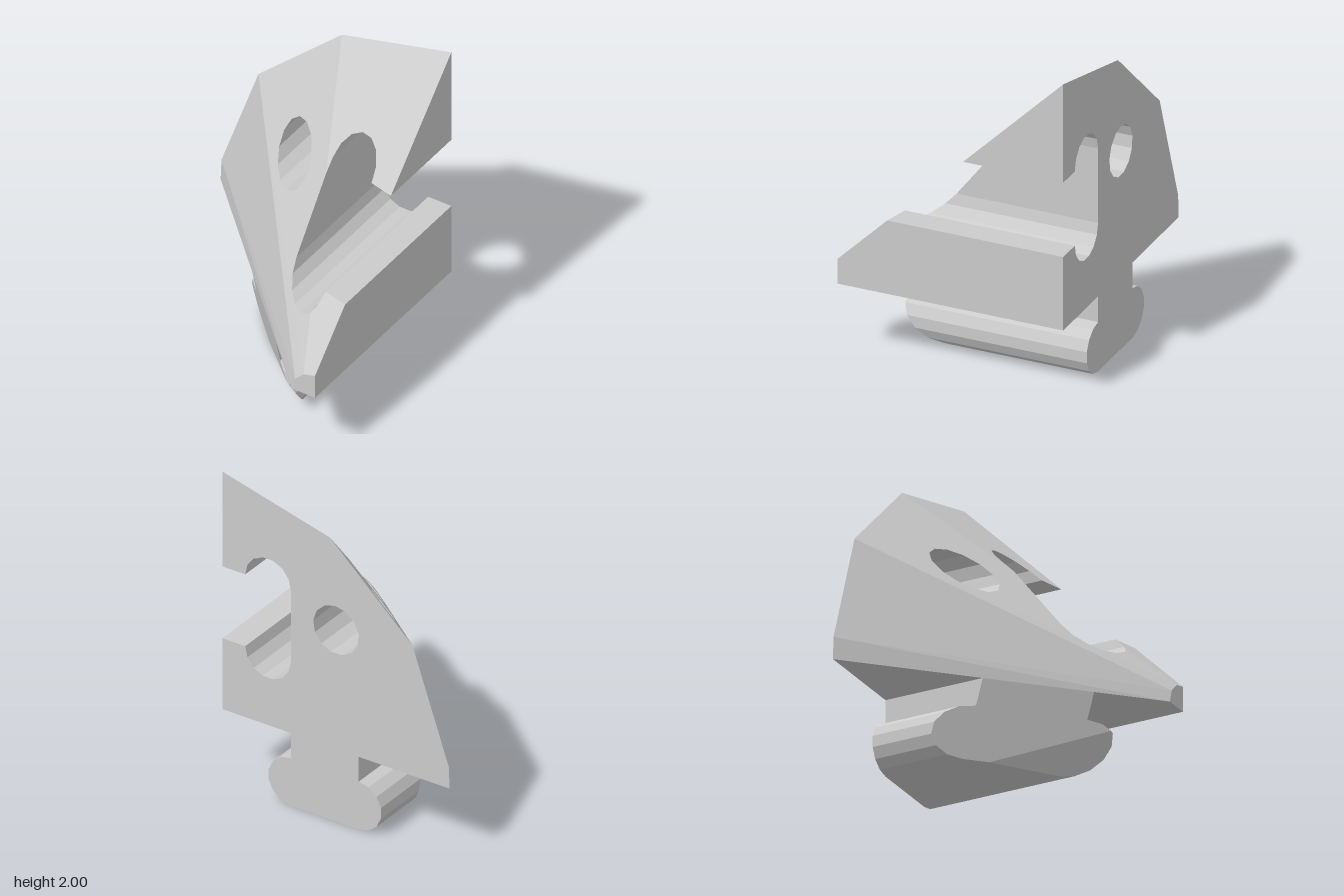
import * as THREE from 'three';

const BACK = -0.69, FRONT = 0.69;          // flat back and small front nose
const CX = 0.766, CY = 0.468;              // axis of the tapering cone
const V2 = (x, y) => new THREE.Vector2(x, y);

// Points of an arc, angles in degrees
function arc(cx, cy, r, from, to, steps) {
  return Array.from({ length: steps + 1 }, (_, i) => {
    const a = THREE.MathUtils.degToRad(from + (to - from) * i / steps);
    return V2(cx + r * Math.cos(a), cy + r * Math.sin(a));
  });
}

// Ring point of the cone, measured from the left (-x) direction upwards
const ring = (r, deg, z) => {
  const a = THREE.MathUtils.degToRad(deg);
  return new THREE.Vector3(CX - r * Math.cos(a), CY + r * Math.sin(a), z);
};
const noseAngles = [-90, -60, -30, 0, 30, 60, 90];
const backAngles = [-90, -60, -30, 0, 5.2, 33.3, 61.7, 90];
const nose = noseAngles.map(a => ring(0.153, a, FRONT));
const rear = backAngles.map(a => ring(1.532, a, BACK));

// Facets between nose ring and rear ring, ordered by edge direction
function coneFacets() {
  const facets = [];
  let i = 0, j = 0;
  while (i < nose.length - 1 || j < rear.length - 1) {
    const n = i < nose.length - 1 ? noseAngles[i] + noseAngles[i + 1] : Infinity;
    const b = j < rear.length - 1 ? backAngles[j] + backAngles[j + 1] : Infinity;
    if (n < b) facets.push([nose[i], rear[j], nose[++i]]);
    else facets.push([nose[i], rear[j], rear[++j]]);
  }
  return facets;
}
const facets = coneFacets();
const planes = facets.map(f => new THREE.Plane().setFromCoplanarPoints(...f));

// Height of the faceted front at (x, y)
function frontZ(x, y) {
  let z = FRONT;
  for (const { normal: n, constant: c } of planes) z = Math.min(z, -(n.x * x + n.y * y + c) / n.z);
  return Math.max(z, BACK);
}

// Split a polygon by the upright plane through a and b
function split(poly, a, b) {
  const len = Math.hypot(b.x - a.x, b.y - a.y);
  const d = poly.map(p => {
    const s = ((b.x - a.x) * (p.y - a.y) - (b.y - a.y) * (p.x - a.x)) / len;
    return Math.abs(s) < 1e-6 ? 0 : s;
  });
  if (d.every(s => s >= 0) || d.every(s => s <= 0)) return [poly];
  const pos = [], neg = [];
  poly.forEach((p, i) => {
    const k = (i + 1) % poly.length;
    if (d[i] >= 0) pos.push(p);
    if (d[i] <= 0) neg.push(p);
    if (d[i] * d[k] < 0) {
      const m = p.clone().lerp(poly[k], d[i] / (d[i] - d[k]));
      pos.push(m);
      neg.push(m);
    }
  });
  return [pos, neg];
}

// Extrude the profile, cut it along the facet ridges, and lower its front onto the facets
function taperedExtrude(shape) {
  const source = new THREE.ExtrudeGeometry(shape, { depth: 1, bevelEnabled: false });
  const flat = source.index ? source.toNonIndexed() : source;
  const pos = flat.attributes.position;
  let polys = [];
  for (let i = 0; i < pos.count; i += 3)
    polys.push([0, 1, 2].map(k => new THREE.Vector3().fromBufferAttribute(pos, i + k)));
  for (const f of facets) {
    polys = polys.flatMap(p => split(p, f[0], f[1]));
    if (f[2].z === FRONT) polys = polys.flatMap(p => split(p, f[0], f[2]));
  }
  const out = [], tri = new THREE.Triangle();
  for (const poly of polys) {
    const q = poly.map(p => new THREE.Vector3(p.x, p.y, BACK + p.z * (frontZ(p.x, p.y) - BACK)));
    for (let i = 1; i < q.length - 1; i++) {
      tri.set(q[0], q[i], q[i + 1]);
      if (tri.getArea() > 1e-9) for (const v of [q[0], q[i], q[i + 1]]) out.push(v.x, v.y, v.z);
    }
  }
  const geometry = new THREE.BufferGeometry();
  geometry.setAttribute('position', new THREE.Float32BufferAttribute(out, 3));
  geometry.computeVertexNormals();
  return geometry;
}

export function createModel() {
  const group = new THREE.Group();
  group.name = 'slottedBracket';

  // Outline: rounded foot, neck, open side slot, then the stepped outer curve
  const outline = [
    V2(-0.153, CY),
    ...arc(-0.153, 0.154, 0.154, 90, 270, 7),
    ...arc(0.303, 0.154, 0.154, -90, 90, 7),
    V2(0.303, CY), V2(CX, CY), V2(CX, 0.925),
    ...arc(0.458, 0.925, 0.154, 0, -180, 7),
    ...arc(0.458, 1.388, 0.154, 180, 0, 7),
    V2(CX, 1.388),
    ...rear.slice(3).reverse().map(p => V2(p.x, p.y)),
  ];
  const shape = new THREE.Shape(outline);

  // Round through hole
  shape.holes.push(new THREE.Path(arc(0, 1.234, 0.154, 5, 365, 13).slice(0, -1)));

  const body = new THREE.Mesh(
    taperedExtrude(shape),
    new THREE.MeshStandardMaterial({ color: 0xcccccc, flatShading: true })
  );
  body.name = 'bracketBody';
  group.add(body);
  return group;
}
